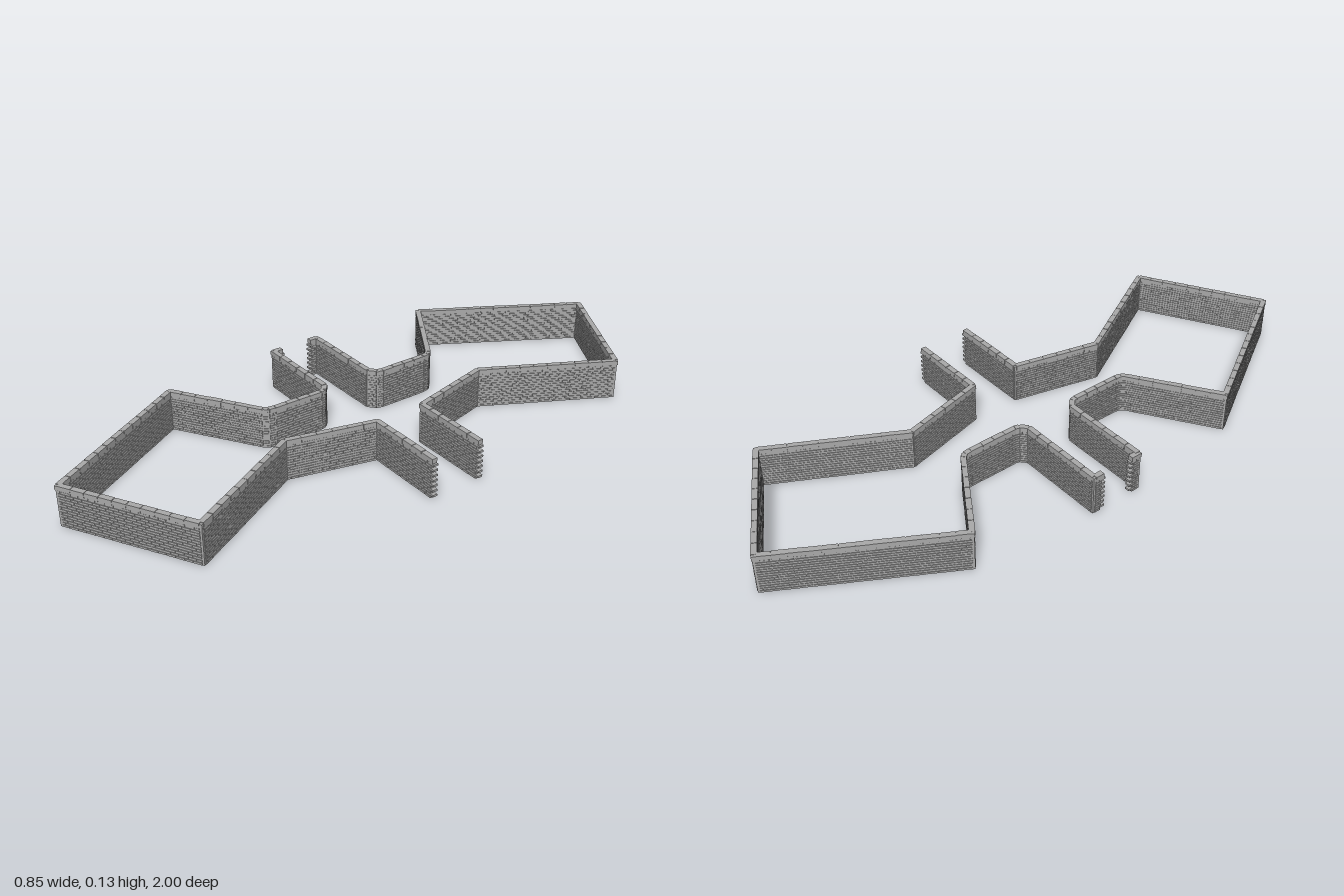
import * as THREE from 'three';
import { mergeGeometries } from 'three/addons/utils/BufferGeometryUtils.js';

const COURSES = 14, WALL_TOP = 0.119, HEIGHT = 0.135;
const COURSE = WALL_TOP / COURSES, BRICK = 0.028, JOINT = 0.002, TOOTH = 0.014;

// Centre line of one boundary wall, as x, z
const PATH = [
  [0.411, 0.085], [0.15, 0.085], [0.08, 0.368], [0.298, 0.768], [-0.089, 0.99],
  [-0.381, 0.492], [-0.113, 0.32], [-0.103, 0.307], [-0.1, 0.286], [-0.1, 0.12],
  [-0.104, 0.104], [-0.126, 0.085], [-0.418, 0.085], [-0.418, 0.062],
];

// Small seeded random numbers for uneven masonry
let seed = 7;
const vary = (amount) => {
  seed = (seed * 16807) % 2147483647;
  return (seed / 2147483647 - 0.5) * 2 * amount;
};

// Mitred strip of constant width that follows the path
function strip(pts, width, y0, y1) {
  const left = [], right = [];
  pts.forEach((p, i) => {
    const a = pts[Math.max(i - 1, 0)], b = pts[Math.min(i + 1, pts.length - 1)];
    const d1 = (i > 0 ? p.clone().sub(a) : b.clone().sub(p)).normalize();
    const d2 = (i < pts.length - 1 ? b.clone().sub(p) : d1.clone()).normalize();
    const n1 = new THREE.Vector2(-d1.y, d1.x), n2 = new THREE.Vector2(-d2.y, d2.x);
    const m = n1.clone().add(n2).normalize();
    m.multiplyScalar(width / 2 / m.dot(n1));
    left.push(p.clone().add(m));
    right.unshift(p.clone().sub(m));
  });
  const g = new THREE.ExtrudeGeometry(new THREE.Shape([...left, ...right]), { depth: y1 - y0, bevelEnabled: false });
  g.rotateX(Math.PI / 2);
  g.translate(0, y1, 0);
  return g;
}

// Box laid along a segment between distances s and e
function block(a, dir, s, e, width, y0, y1) {
  const g = new THREE.BoxGeometry(e - s, y1 - y0, width);
  g.rotateY(-Math.atan2(dir.y, dir.x));
  const c = a.clone().addScaledVector(dir, (s + e) / 2);
  g.translate(c.x, (y0 + y1) / 2, c.y);
  return g;
}

function createWall(side, material) {
  const pts = PATH.map(([x, z]) => new THREE.Vector2(x, z * side));
  const bricks = [], slabs = [];
  const last = pts.length - 2;

  for (let i = 0; i <= last; i++) {
    const a = pts[i], dir = pts[i + 1].clone().sub(a), len = dir.length();
    dir.normalize();

    // Staggered uneven courses; alternate ones stick out as teeth at the open ends
    for (let row = 0; row < COURSES; row++) {
      const odd = row % 2, y = row * COURSE;
      const end = len + (i === last && odd ? TOOTH : 0);
      let s = i === 0 && odd ? -TOOTH : 0;
      let next = odd ? BRICK / 2 : BRICK;
      while (s < end - 0.004) {
        const e = Math.min(next + vary(0.004), end);
        if (e - s > 0.005) {
          bricks.push(block(a, dir, s + JOINT / 2, e - JOINT / 2, 0.0152 + vary(0.0008), y + JOINT / 2, y + COURSE - JOINT / 2));
        }
        s = e;
        next += BRICK;
      }
    }

    // Coping slabs of slightly uneven height
    const count = Math.max(1, Math.round(len / 0.045)), step = len / count;
    for (let k = 0; k < count; k++) {
      const s0 = k * step + (i === 0 && k === 0 ? -0.007 : 0.001);
      const s1 = (k + 1) * step + (i === last && k === count - 1 ? 0.007 : -0.001);
      slabs.push(block(a, dir, s0, s1, 0.0175 + vary(0.0006), WALL_TOP, HEIGHT - 0.0005 + vary(0.0005)));
    }
  }

  const wall = new THREE.Group();
  wall.name = side > 0 ? 'frontWall' : 'backWall';
  const add = (name, geometry) => {
    const mesh = new THREE.Mesh(geometry, material);
    mesh.name = name;
    wall.add(mesh);
  };
  add('mortarCore', strip(pts, 0.0115, 0, WALL_TOP));
  add('bricks', mergeGeometries(bricks));
  add('copingBed', strip(pts, 0.0155, WALL_TOP, HEIGHT - 0.002));
  add('copingSlabs', mergeGeometries(slabs));
  return wall;
}

export function createModel() {
  const model = new THREE.Group();
  model.name = 'brickWalls';
  const material = new THREE.MeshStandardMaterial({ color: 0xaaaaaa, flatShading: true });
  for (const side of [1, -1]) model.add(createWall(side, material));
  return model;
}
